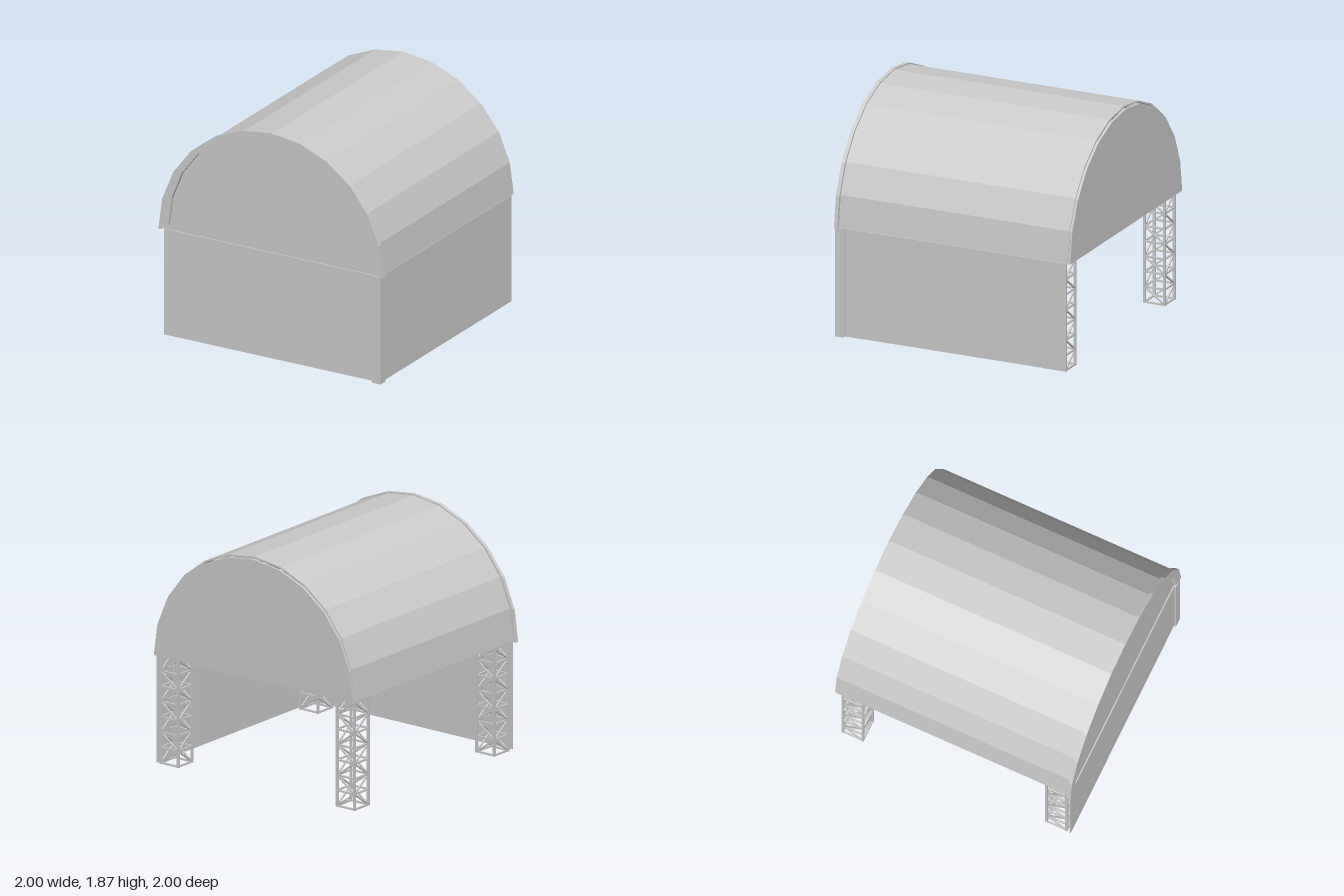
import * as THREE from 'three';
import { mergeGeometries } from 'three/addons/utils/BufferGeometryUtils.js';

const mat = new THREE.MeshStandardMaterial({ color: 0xcccccc, flatShading: true, side: THREE.DoubleSide });
const EAVE = 0.885, STEPS = 12;
const V = (x, y, z) => new THREE.Vector3(x, y, z);

function add(parent, name, geometry) {
  const mesh = new THREE.Mesh(geometry, mat);
  mesh.name = name;
  parent.add(mesh);
  return mesh;
}

// Box given by its min and max corners
function slab(parent, name, x0, x1, y0, y1, z0, z1) {
  const g = new THREE.BoxGeometry(x1 - x0, y1 - y0, z1 - z0);
  g.translate((x0 + x1) / 2, (y0 + y1) / 2, (z0 + z1) / 2);
  return add(parent, name, g);
}

// Square bar between two points
function bar(a, b, t = 0.016) {
  const d = b.clone().sub(a);
  const g = new THREE.BoxGeometry(t, d.length(), t);
  const q = new THREE.Quaternion().setFromUnitVectors(V(0, 1, 0), d.normalize());
  g.applyQuaternion(q);
  const m = a.clone().add(b).multiplyScalar(0.5);
  return g.translate(m.x, m.y, m.z);
}

// Points of a half circle from +x over the top to -x
function arc(r, cy, ry = r) {
  return Array.from({ length: STEPS + 1 }, (_, i) => {
    const a = (i / STEPS) * Math.PI;
    return new THREE.Vector2(r * Math.cos(a), cy + ry * Math.sin(a));
  });
}

function plate(points, z, depth) {
  const g = new THREE.ExtrudeGeometry(new THREE.Shape(points), { depth, bevelEnabled: false });
  return g.translate(0, 0, z);
}

// Square lattice tower: four legs, rings and zigzag braces
function towerGeometry() {
  const w = 0.085, h = 0.875, bays = 7, parts = [];
  const corners = [[-w, -w], [w, -w], [w, w], [-w, w]];
  corners.forEach(([x, z], i) => {
    const [nx, nz] = corners[(i + 1) % 4];
    parts.push(bar(V(x, 0, z), V(x, h, z), 0.018));
    for (let k = 0; k <= bays; k++) {
      const y = 0.008 + (k / bays) * (h - 0.016);
      parts.push(bar(V(x, y, z), V(nx, y, nz), 0.014));
      if (k === bays) continue;
      const top = y + (h - 0.016) / bays;
      parts.push((k + i) % 2
        ? bar(V(x, y, z), V(nx, top, nz), 0.012)
        : bar(V(nx, y, nz), V(x, top, z), 0.012));
    }
  });
  return mergeGeometries(parts);
}

// Arched truss: bottom chord, curved top chord and zigzag webs
function trussGeometry() {
  const top = arc(0.92, EAVE + 0.005), parts = [bar(V(-0.92, EAVE, 0), V(0.92, EAVE, 0), 0.022)];
  for (let i = 0; i < STEPS; i++) {
    const a = top[i], b = top[i + 1], mid = (a.x + b.x) / 2;
    parts.push(bar(V(a.x, a.y, 0), V(b.x, b.y, 0), 0.022));
    if (i > 0) parts.push(bar(V(a.x, a.y, 0), V(mid, EAVE, 0)));
    if (i < STEPS - 1) parts.push(bar(V(b.x, b.y, 0), V(mid, EAVE, 0)));
  }
  return mergeGeometries(parts);
}

export function createModel() {
  const model = new THREE.Group();
  model.name = 'archedHall';

  // Faceted barrel roof shell
  const shell = [...arc(0.975, EAVE), ...arc(0.962, EAVE).reverse()];
  add(model, 'roof', plate(shell, -0.98, 1.95));

  // Front rim with flared feet, and the two gables
  const rim = [
    ...arc(1, 0.875, 0.995), new THREE.Vector2(-0.97, 0.88),
    ...arc(0.91, 0.925).reverse(), new THREE.Vector2(0.97, 0.88),
  ];
  add(model, 'frontRim', plate(rim, 0.97, 0.03));
  add(model, 'frontGable', plate(arc(0.965, 0.88), 0.965, 0.01));
  add(model, 'backGable', plate(arc(0.97, 0.88, 0.96), -1, 0.02));

  // Walls on the front and the left, with an angle post at their corner
  slab(model, 'frontWall', -0.96, 0.91, 0.01, 0.88, 0.975, 0.985);
  slab(model, 'leftWall', 0.962, 0.972, 0.01, 0.88, -0.965, 0.93);
  const post = new THREE.Group();
  post.name = 'cornerPost';
  slab(post, 'postFront', 0.905, 0.98, 0, 0.88, 0.988, 1);
  slab(post, 'postSide', 0.968, 0.98, 0, 0.88, 0.925, 0.988);
  model.add(post);

  // Corner towers
  const tower = towerGeometry();
  for (const sx of [-1, 1]) for (const sz of [-1, 1]) {
    add(model, 'tower', tower).position.set(sx * 0.86, 0, sz * 0.86);
  }

  // Trusses over the towers
  const truss = trussGeometry();
  for (const z of [-0.86, 0.86]) add(model, 'truss', truss).position.z = z;

  // Eave beams around the top of the towers
  for (const s of [-1, 1]) {
    const z = s * 0.955, x = s * 0.95;
    add(model, 'crossBeam', bar(V(-0.95, EAVE, z), V(0.95, EAVE, z), 0.02));
    add(model, 'eaveBeam', bar(V(x, EAVE, -0.96), V(x, EAVE, 0.96), 0.02));
  }

  // Purlins along the roof
  arc(0.938, EAVE).slice(1, -1).forEach((p) => {
    add(model, 'purlin', bar(V(p.x, p.y, -0.97), V(p.x, p.y, 0.96), 0.022));
  });

  return model;
}
